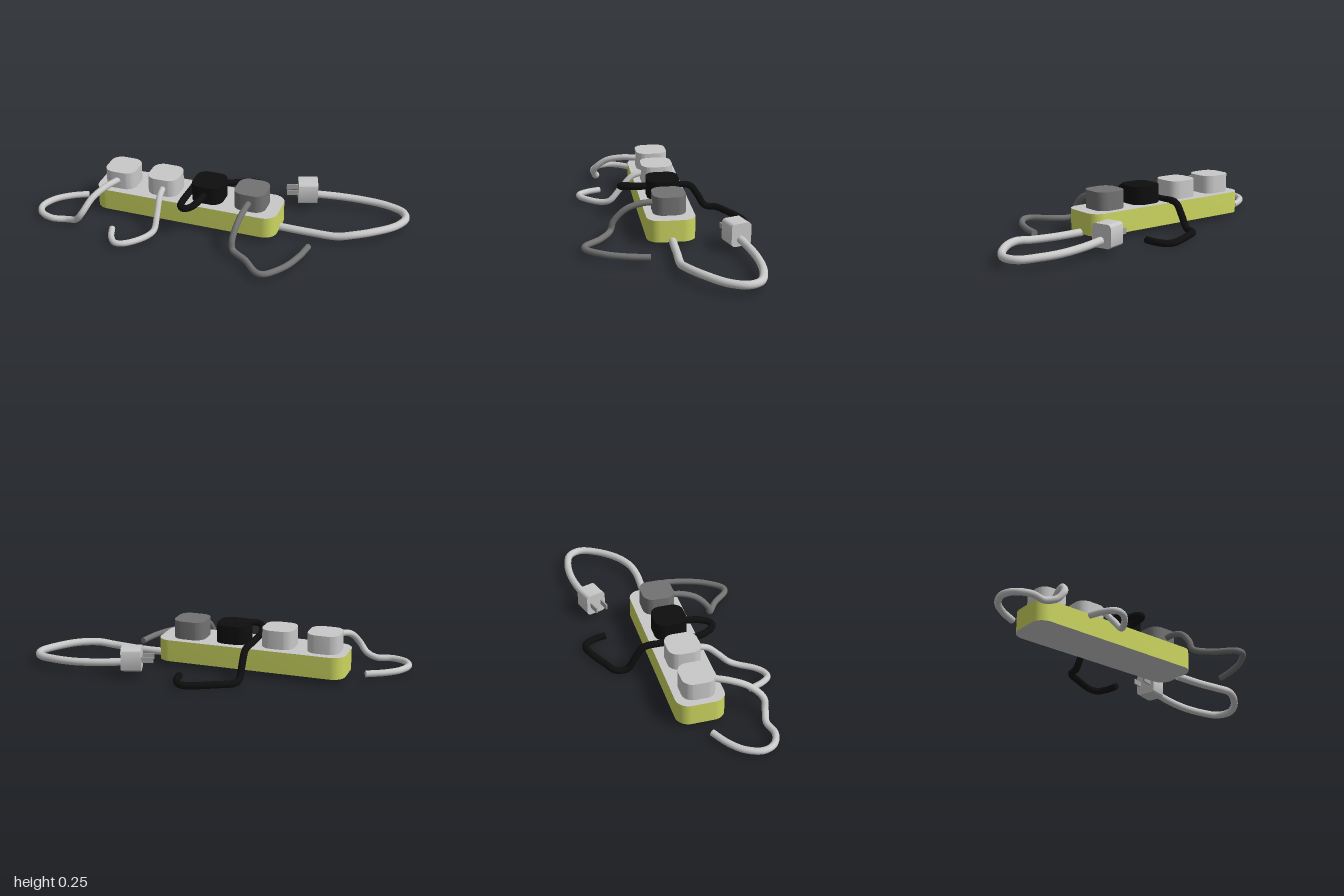
import * as THREE from 'three';
import { toCreasedNormals } from 'three/addons/utils/BufferGeometryUtils.js';

const mat = (name, color) => {
  const m = new THREE.MeshStandardMaterial({ color });
  m.name = name;
  return m;
};

// Rounded rectangle centred on the origin
function roundedRect(w, h, r) {
  const s = new THREE.Shape();
  const x = w / 2, y = h / 2;
  s.moveTo(-x + r, -y);
  s.lineTo(x - r, -y);
  s.absarc(x - r, -y + r, r, -Math.PI / 2, 0);
  s.lineTo(x, y - r);
  s.absarc(x - r, y - r, r, 0, Math.PI / 2);
  s.lineTo(-x + r, y);
  s.absarc(-x + r, y - r, r, Math.PI / 2, Math.PI);
  s.lineTo(-x, -y + r);
  s.absarc(-x + r, -y + r, r, Math.PI, Math.PI * 1.5);
  return s;
}

function roundedSlab(w, h, r, depth) {
  return toCreasedNormals(new THREE.ExtrudeGeometry(roundedRect(w, h, r),
    { depth, bevelEnabled: false, curveSegments: 6 }), 0.6);
}

// Tube through points, closed with a flat disc at each end
function makeCord(name, points, radius, material) {
  const group = new THREE.Group();
  group.name = name;
  const curve = new THREE.CatmullRomCurve3(points.map(p => new THREE.Vector3(...p)));
  group.add(new THREE.Mesh(new THREE.TubeGeometry(curve, 90, radius, 14), material));
  for (const t of [0, 1]) {
    const cap = new THREE.Mesh(new THREE.CircleGeometry(radius, 14), material);
    const end = curve.getPointAt(t);
    cap.position.copy(end);
    cap.lookAt(end.clone().addScaledVector(curve.getTangentAt(t), t ? 1 : -1));
    group.add(cap);
  }
  group.children.forEach(m => { m.name = name; });
  return group;
}

export function createModel() {
  const model = new THREE.Group();
  model.name = 'powerStrip';
  const light = mat('lightGrey', 0xc8c8c8);
  const dark = mat('darkGrey', 0x727272);
  const black = mat('black', 0x0e0e0e);
  const lime = mat('limeGreen', 0xccd660);
  const metal = mat('prongMetal', 0xa0a0a0);

  // Strip body: grey top and bottom, lime sides
  const body = new THREE.Mesh(roundedSlab(1.04, 0.26, 0.07, 0.12), [light, lime]);
  body.name = 'stripBody';
  body.rotation.x = -Math.PI / 2;
  body.position.set(-0.18, 0.03, -0.02);
  model.add(body);

  // Four plugs seated on the strip
  const plugGeo = roundedSlab(0.177, 0.177, 0.058, 0.1);
  [[-0.572, light], [-0.322, light], [-0.065, black], [0.178, dark]].forEach(([x, m], i) => {
    const plug = new THREE.Mesh(plugGeo, m);
    plug.name = 'plug' + (i + 1);
    plug.rotation.x = -Math.PI / 2;
    plug.position.set(x, 0.15, -0.02);
    model.add(plug);
  });

  // Device cords
  model.add(makeCord('cord1', [
    [-0.57, 0.2, 0.05], [-0.615, 0.193, 0.15], [-0.655, 0.165, 0.24], [-0.69, 0.1, 0.305],
    [-0.73, 0.05, 0.3], [-0.79, 0.03, 0.285], [-0.88, 0.03, 0.3], [-0.955, 0.03, 0.265],
    [-0.982, 0.03, 0.2], [-0.95, 0.03, 0.115], [-0.88, 0.03, 0.05], [-0.79, 0.03, 0]
  ], 0.018, light));
  model.add(makeCord('cord2', [
    [-0.31, 0.2, 0.05], [-0.305, 0.18, 0.12], [-0.295, 0.11, 0.19], [-0.29, 0.045, 0.25],
    [-0.31, 0.03, 0.295], [-0.365, 0.03, 0.375], [-0.41, 0.03, 0.41], [-0.45, 0.03, 0.415],
    [-0.49, 0.03, 0.37], [-0.52, 0.03, 0.29]
  ], 0.017, light));
  model.add(makeCord('cord3', [
    [-0.067, 0.2, 0.05], [-0.08, 0.197, 0.14], [-0.105, 0.19, 0.195], [-0.135, 0.185, 0.205],
    [-0.165, 0.175, 0.17], [-0.18, 0.163, 0.1], [-0.18, 0.158, -0.05], [-0.18, 0.155, -0.19],
    [-0.18, 0.1, -0.235], [-0.18, 0.03, -0.28], [-0.17, 0.021, -0.34], [-0.1, 0.021, -0.385],
    [0.06, 0.021, -0.455], [0.1, 0.021, -0.445], [0.13, 0.023, -0.39], [0.14, 0.025, -0.33]
  ], 0.019, black));
  model.add(makeCord('cord4', [
    [0.185, 0.2, 0.05], [0.18, 0.195, 0.12], [0.17, 0.16, 0.21], [0.163, 0.09, 0.275],
    [0.17, 0.045, 0.29], [0.26, 0.035, 0.35], [0.35, 0.035, 0.44], [0.39, 0.035, 0.44],
    [0.47, 0.035, 0.345], [0.515, 0.035, 0.23], [0.537, 0.035, 0.12]
  ], 0.017, dark));

  // Supply cord running to the wall plug
  model.add(makeCord('supplyCord', [
    [0.33, 0.035, -0.02], [0.5, 0.035, -0.018], [0.66, 0.042, -0.015], [0.74, 0.055, -0.035],
    [0.84, 0.06, -0.095], [0.94, 0.055, -0.2], [0.975, 0.055, -0.29], [0.945, 0.055, -0.355],
    [0.85, 0.058, -0.39], [0.72, 0.06, -0.4], [0.58, 0.066, -0.385], [0.43, 0.075, -0.35]
  ], 0.021, light));

  // Wall plug: its local +z carries the two prongs
  const wallPlug = new THREE.Group();
  wallPlug.name = 'wallPlug';
  const housing = new THREE.Mesh(roundedSlab(0.115, 0.125, 0.022, 0.108), light);
  housing.name = 'wallPlugHousing';
  housing.position.z = -0.054;
  wallPlug.add(housing);
  for (const side of [-1, 1]) {
    const prong = new THREE.Mesh(new THREE.BoxGeometry(0.008, 0.03, 0.07), metal);
    prong.name = 'prong';
    prong.position.set(side * 0.032, 0, 0.083);
    wallPlug.add(prong);
  }
  wallPlug.position.set(0.404, 0.098, -0.345);
  wallPlug.rotation.y = -Math.PI / 2 + 0.31;
  model.add(wallPlug);

  return model;
}
